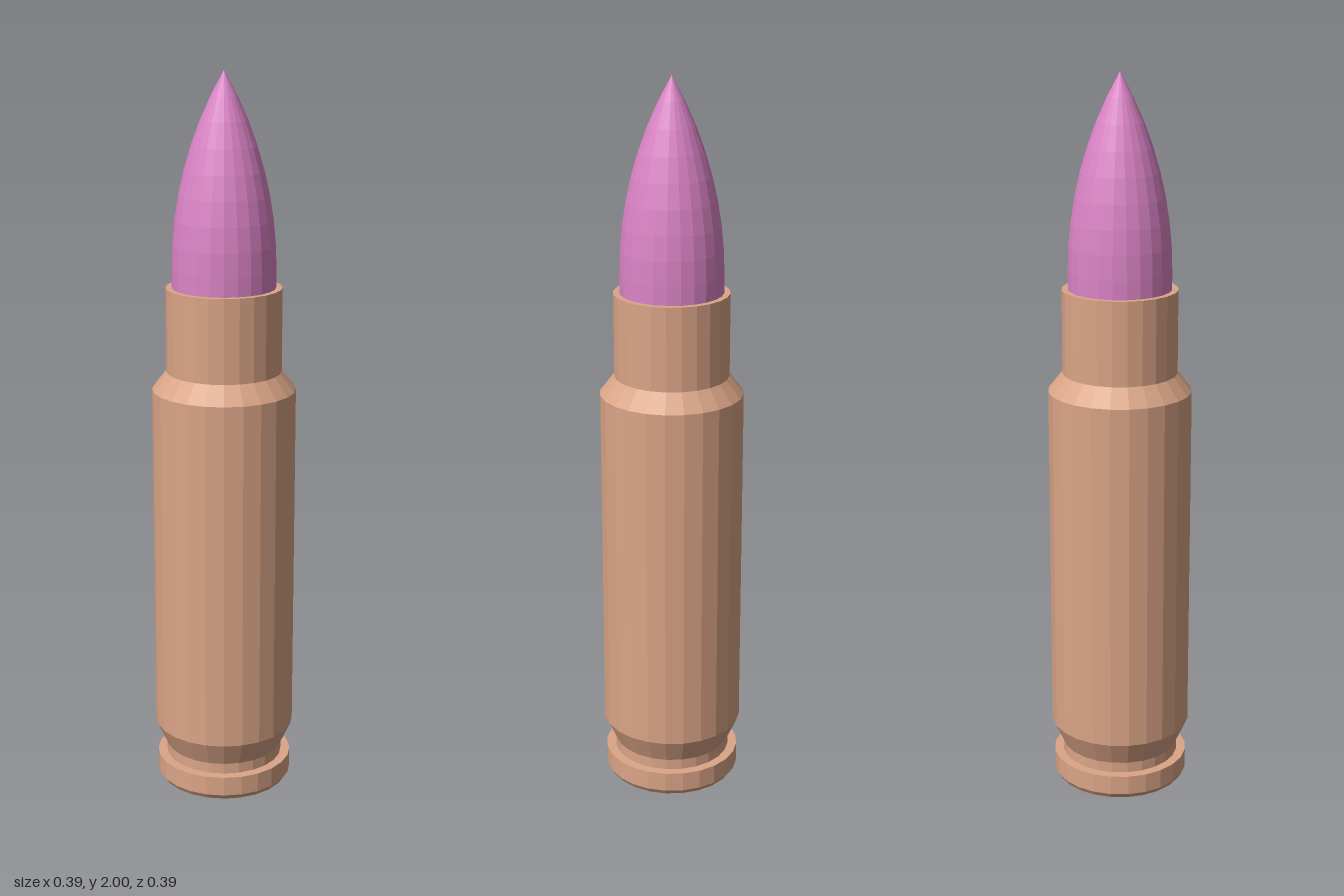
import * as THREE from 'three';

const SIDES = 24;

// Faceted solid of revolution from [radius, height] pairs, listed bottom to top
function turned(name, profile, color) {
  const points = profile.map(([r, y]) => new THREE.Vector2(r, y));
  const material = new THREE.MeshStandardMaterial({ color, flatShading: true });
  const mesh = new THREE.Mesh(new THREE.LatheGeometry(points, SIDES), material);
  mesh.name = name;
  return mesh;
}

export function createModel() {
  const model = new THREE.Group();
  model.name = 'cartridge';

  // Casing: chamfered rim, extractor groove, body, shoulder, neck and flat lip
  model.add(turned('casing', [
    [0, 0], [0.18, 0], [0.19, 0.015], [0.19, 0.07],
    [0.164, 0.07], [0.164, 0.1], [0.196, 0.17],
    [0.196, 1.15], [0.157, 1.2], [0.157, 1.43], [0.135, 1.43],
  ], 0xdba587));

  // Bullet: short straight shank, then a circular-arc ogive to the tip
  const radius = 0.14, start = 1.48, length = 2 - start, steps = 8;
  const arc = (radius ** 2 + length ** 2) / (2 * radius);
  const profile = [[0, 1.38], [radius, 1.38]];
  for (let i = 0; i <= steps; i++) {
    const h = (length * i) / steps;
    const r = Math.sqrt(arc ** 2 - h ** 2) + radius - arc;
    profile.push([i === steps ? 0 : r, start + h]);
  }
  model.add(turned('bullet', profile, 0xdb84c6));

  return model;
}
